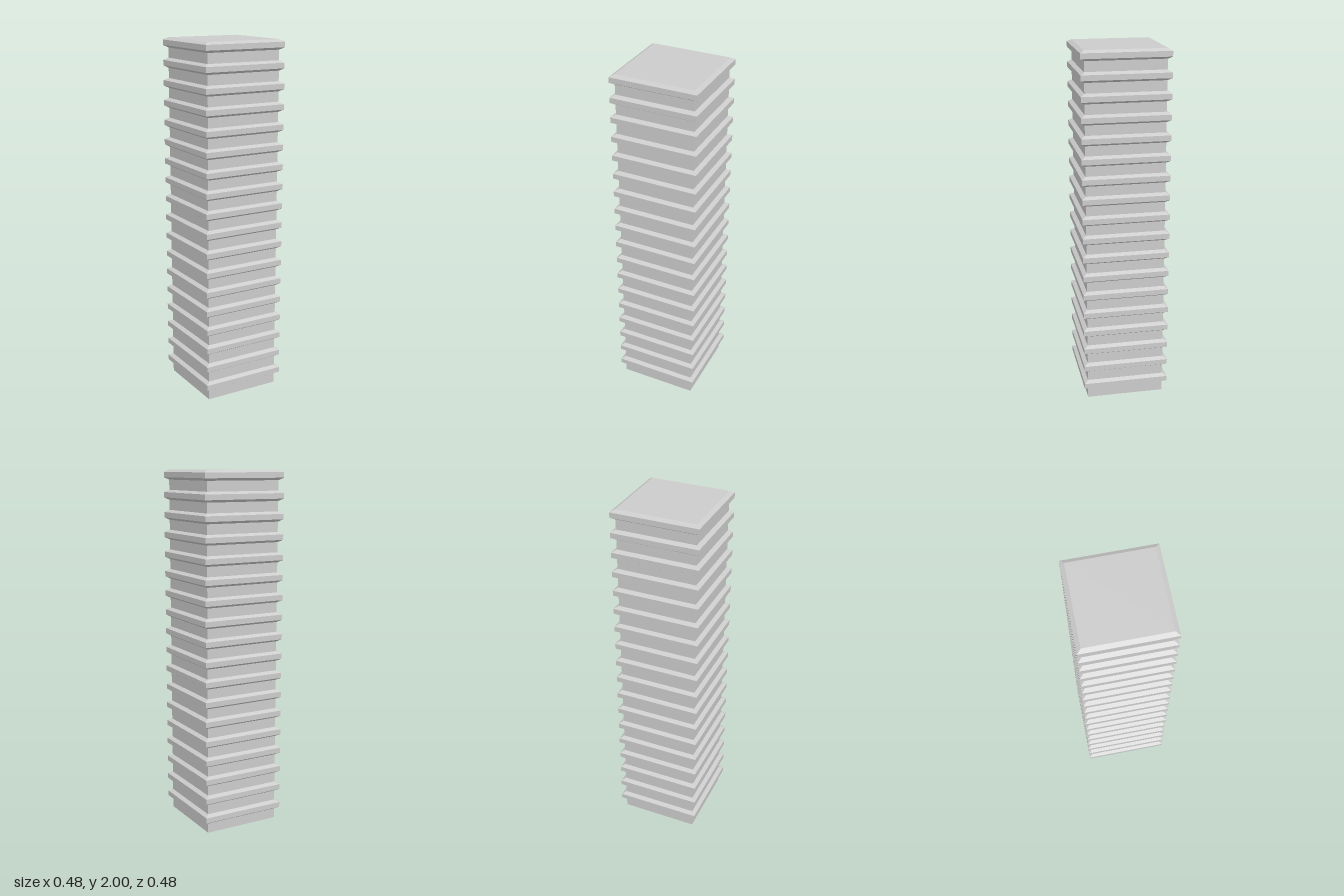
import * as THREE from 'three';

const MODULES = 18;             // stacked wall + rib units
const PITCH = 2 / MODULES;
const WALL = 0.22;              // half width of the plain shaft
const RIB = 0.242;              // half width of the ribs
const BEVEL = 0.013;            // height of the rib chamfers

export function createModel() {
  const group = new THREE.Group();
  group.name = 'ribbedColumn';
  const material = new THREE.MeshStandardMaterial({
    color: 0xcccccc, flatShading: true, side: THREE.DoubleSide,
  });

  // Half profile: each unit is a plain band topped by a chamfered rib
  const profile = [];
  const add = (halfWidth, y) => profile.push(new THREE.Vector2(halfWidth * Math.SQRT2, y));
  add(WALL, 0);
  for (let i = 0; i < MODULES; i++) {
    const y = i * PITCH;
    add(WALL, y + PITCH / 2);
    add(RIB, y + PITCH / 2 + BEVEL);
    add(RIB, y + PITCH - BEVEL);
    add(WALL, y + PITCH);
  }

  // Square shell, open at the bottom
  const shaft = new THREE.Mesh(new THREE.LatheGeometry(profile, 4, Math.PI / 4), material);
  shaft.name = 'ribbedShaft';
  group.add(shaft);

  // Flat lid closing the top
  const lid = new THREE.Mesh(new THREE.PlaneGeometry(WALL * 2, WALL * 2), material);
  lid.name = 'topLid';
  lid.rotation.x = -Math.PI / 2;
  lid.position.y = 2;
  group.add(lid);

  return group;
}
